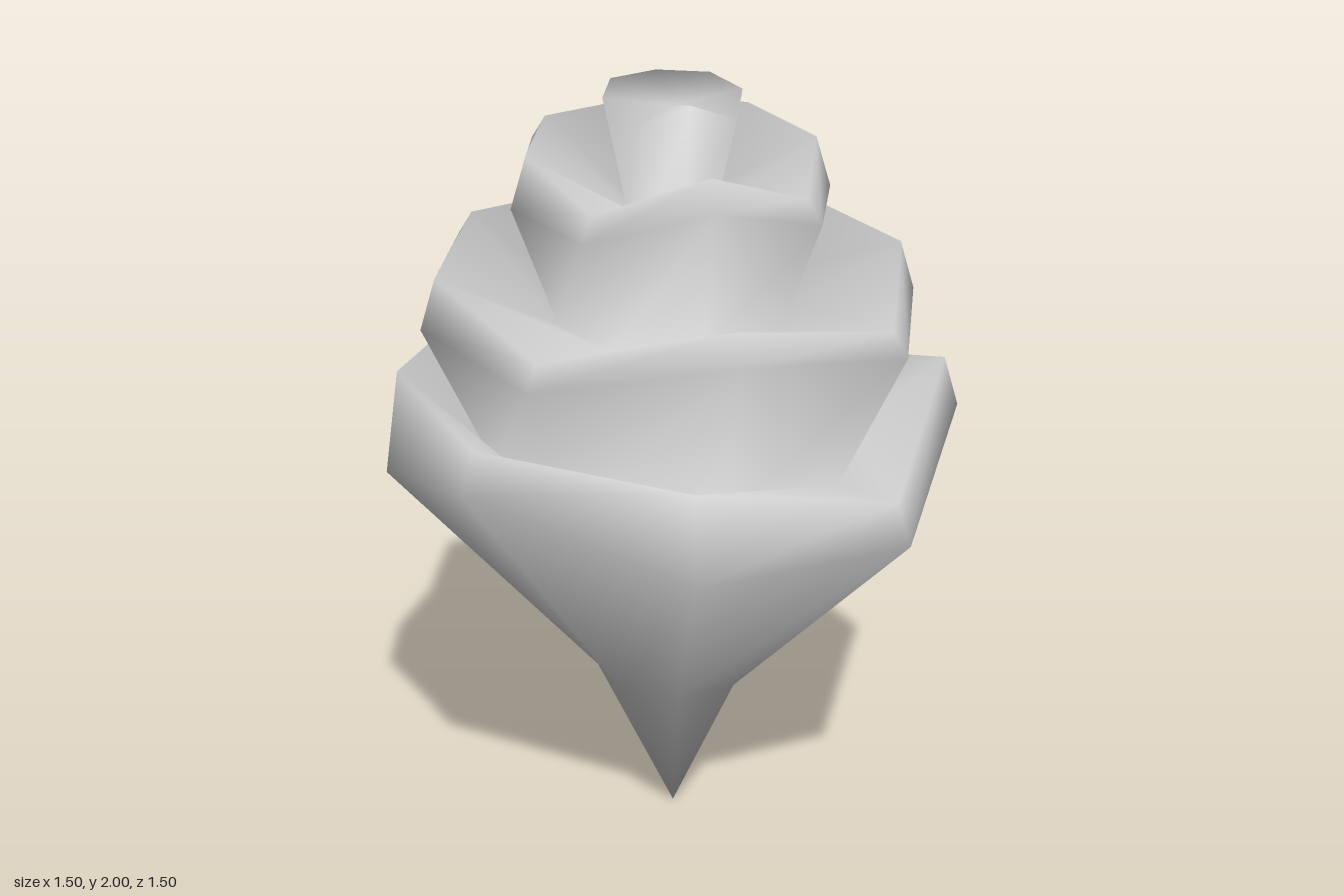
import * as THREE from 'three';

const SIDES = 8;
// How far a ring's corners sink (times its drop), counted away from the petal's peak
const BELLY = [0.15, 1, 0.95, 0.03, 1];
const RIM = [0, 1, 0.27, 0.03, 0];

// Rings from the tip upward; each whorl is a base, a wide belly and a drawn-in rim
const RINGS = [
  { radius: 0.205, height: 0.43 },
  { radius: 0.75, height: 1.18, dip: BELLY, drop: 0.17, peak: 7 },
  { radius: 0.71, height: 1.285, dip: RIM, drop: 0.17, peak: 7 },
  { radius: 0.475, height: 1.06, turn: -10 },
  { radius: 0.65, height: 1.53, turn: -10, dip: BELLY, drop: 0.1, peak: 1 },
  { radius: 0.61, height: 1.59, turn: -10, dip: RIM, drop: 0.1, peak: 1 },
  { radius: 0.3, height: 1.42, turn: -10 },
  { radius: 0.413, height: 1.82, turn: -10, dip: BELLY, drop: 0.1, peak: 1 },
  { radius: 0.373, height: 1.88, turn: -10, dip: RIM, drop: 0.1, peak: 1 },
  { radius: 0.117, height: 1.7, turn: -10 },
  { radius: 0.178, height: 2, turn: -10, dip: RIM, drop: 0.055, peak: 1 },
];

// Smooth normals, each face weighted by its corner angle
function smoothByAngle(geometry) {
  const position = geometry.getAttribute('position');
  const index = geometry.getIndex();
  const normals = Array.from({ length: position.count }, () => new THREE.Vector3());
  for (let f = 0; f < index.count; f += 3) {
    const ids = [0, 1, 2].map((c) => index.getX(f + c));
    const p = ids.map((i) => new THREE.Vector3().fromBufferAttribute(position, i));
    const face = new THREE.Triangle(...p).getNormal(new THREE.Vector3());
    ids.forEach((id, c) => {
      const toNext = p[(c + 1) % 3].clone().sub(p[c]);
      const toLast = p[(c + 2) % 3].clone().sub(p[c]);
      normals[id].addScaledVector(face, toNext.angleTo(toLast));
    });
  }
  const flat = normals.flatMap((n) => n.normalize().toArray());
  geometry.setAttribute('normal', new THREE.Float32BufferAttribute(flat, 3));
}

// One continuous skin folding in and out through all the rings
function budGeometry() {
  const positions = [0, 0, 0];
  const index = [];
  for (const { radius, height, turn = 0, dip, drop, peak } of RINGS) {
    for (let k = 0; k < SIDES; k++) {
      const a = THREE.MathUtils.degToRad(turn + k * 45);
      const r = radius * (k % 2 ? 0.978 : 1);
      const away = Math.abs(k - peak);
      const y = dip ? height - drop * dip[Math.min(away, SIDES - away)] : height;
      positions.push(r * Math.cos(a), y, r * Math.sin(a));
    }
  }
  // Shallow cap closing the heart
  const top = positions.length / 3;
  positions.push(0, 1.955, 0);

  for (let k = 0; k < SIDES; k++) {
    const n = (k + 1) % SIDES;
    index.push(0, 1 + k, 1 + n);
    for (let r = 0; r < RINGS.length - 1; r++) {
      const lo = 1 + r * SIDES;
      const up = lo + SIDES;
      index.push(lo + k, up + k, lo + n, lo + n, up + k, up + n);
    }
    index.push(top - SIDES + k, top, top - SIDES + n);
  }
  const geometry = new THREE.BufferGeometry();
  geometry.setAttribute('position', new THREE.Float32BufferAttribute(positions, 3));
  geometry.setIndex(index);
  smoothByAngle(geometry);
  return geometry;
}

export function createModel() {
  const group = new THREE.Group();
  group.name = 'rosebud';
  const petalGrey = new THREE.MeshStandardMaterial({ color: 0xcccccc });
  petalGrey.name = 'petal grey';
  const petals = new THREE.Mesh(budGeometry(), petalGrey);
  petals.name = 'petals';
  group.add(petals);
  return group;
}
